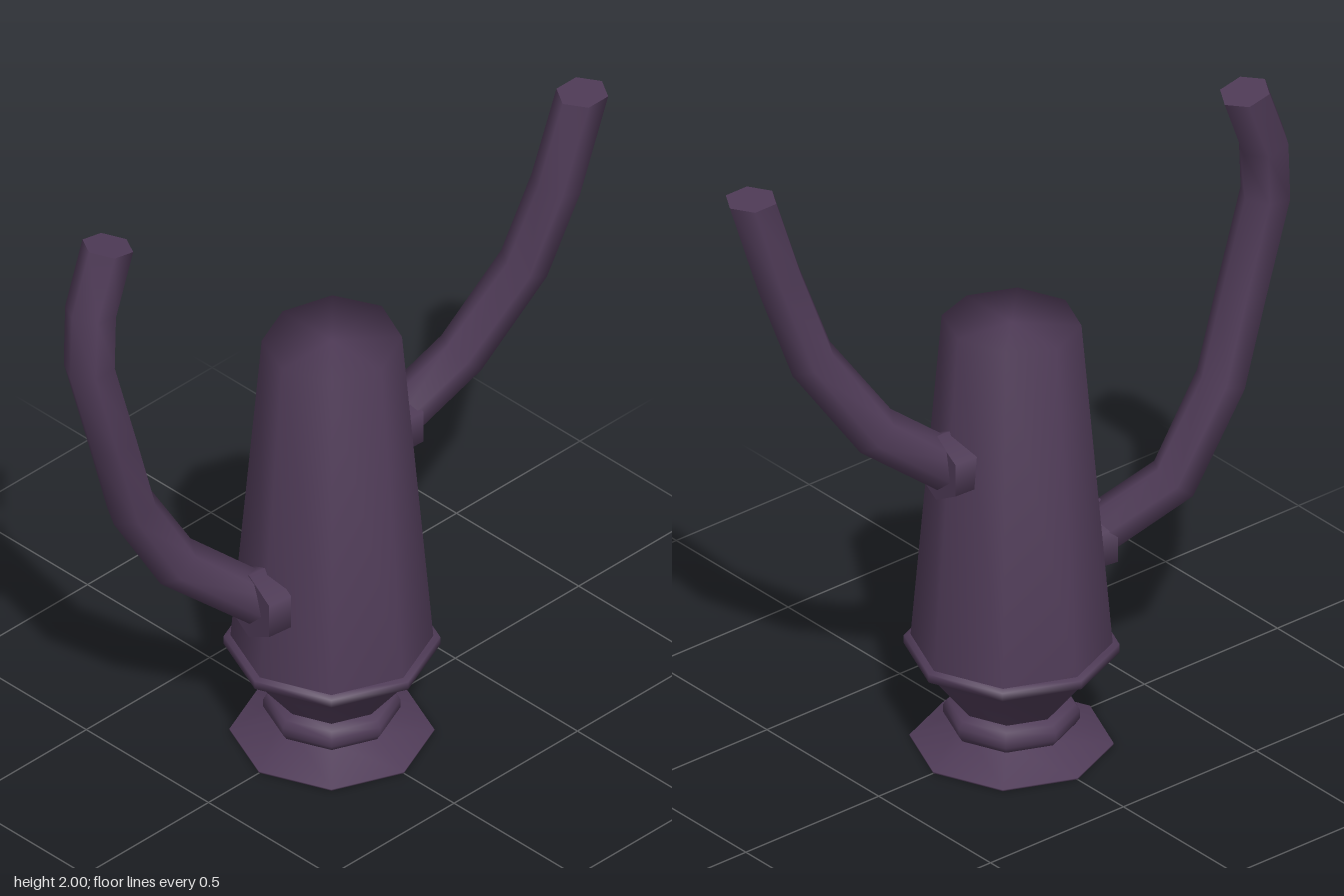
import * as THREE from 'three';

const plum = new THREE.MeshStandardMaterial({ color: 0x4f3b57, side: THREE.DoubleSide });
plum.name = 'dark plum';

function add(parent, name, geometry) {
  const mesh = new THREE.Mesh(geometry, plum);
  mesh.name = name;
  parent.add(mesh);
  return mesh;
}

// Eight-sided turned part from [radius, y] pairs, with corners on the axes
function turned(points) {
  return new THREE.LatheGeometry(points.map(([r, y]) => new THREE.Vector2(r, y)), 8);
}

// Six-sided mitred pipe through the points; endDir sets the cut of the last ring
function pipe(coords, radius, endDir) {
  const pts = coords.map((c) => new THREE.Vector3(...c));
  const last = pts.length - 1;
  const sides = 6;
  const pos = [];
  const index = [];
  const dir = (i) => pts[i + 1].clone().sub(pts[i]).normalize();
  pts.forEach((p, i) => {
    const before = dir(Math.max(i - 1, 0));
    const after = i === last ? endDir.clone().normalize() : dir(i);
    const t = i === last ? after : before.clone().add(after).normalize();
    const u = new THREE.Vector3(0, 0, 1).cross(t).normalize();
    const v = t.clone().cross(u);
    const stretch = radius / Math.max(0.8, t.dot(before));
    for (let k = 0; k < sides; k++) {
      const a = (k / sides) * Math.PI * 2;
      const q = p.clone().addScaledVector(u, Math.cos(a) * stretch).addScaledVector(v, Math.sin(a) * radius);
      pos.push(q.x, q.y, q.z);
      if (i < last) {
        const b = i * sides + k;
        const c = i * sides + ((k + 1) % sides);
        index.push(b, c, b + sides, c, c + sides, b + sides);
      }
    }
  });
  // End cap with its own corners so the cut stays crisp
  const start = pos.length / 3;
  pos.push(...pos.slice(-sides * 3));
  for (let k = 1; k < sides - 1; k++) index.push(start, start + k, start + k + 1);
  const g = new THREE.BufferGeometry();
  g.setAttribute('position', new THREE.Float32BufferAttribute(pos, 3));
  g.setIndex(index);
  g.computeVertexNormals();
  return g;
}

// Hexagonal socket lying along x where a pipe joins the body
function collar(parent, name, center, radius, yaw) {
  const g = new THREE.CylinderGeometry(radius, radius, 0.08, 6);
  g.rotateY(Math.PI / 2);
  g.rotateZ(Math.PI / 2);
  g.rotateX(Math.PI / 2);
  // Bring a corner to the top and bottom
  g.computeBoundingBox();
  if (g.boundingBox.max.y < g.boundingBox.max.z) g.rotateX(Math.PI / 2);
  const mesh = add(parent, name, g);
  mesh.position.set(...center);
  mesh.rotation.y = yaw;
}

export function createModel() {
  const model = new THREE.Group();
  model.name = 'vessel';

  // Foot, ring and flared cup
  add(model, 'foot', turned([[0, 0], [0.295, 0], [0.295, 0.005], [0.15, 0.06], [0.13, 0.08]]));
  add(model, 'neckRing', turned([[0.15, 0.055], [0.185, 0.065], [0.198, 0.085], [0.198, 0.11], [0.185, 0.13], [0.15, 0.145]]));
  add(model, 'cup', turned([[0.13, 0.09], [0.16, 0.14], [0.295, 0.31]]));

  // Thin flange under the body
  add(model, 'flange', turned([[0.28, 0.308], [0.312, 0.308], [0.312, 0.335], [0.28, 0.342]]));

  // Tapered body, its rim rising slightly to one side
  const body = turned([[0.293, 0.33], [0.202, 1.39], [0, 1.39]]);
  const p = body.attributes.position;
  for (let i = 0; i < p.count; i++) {
    if (p.getY(i) > 1) p.setY(i, 1.39 + Math.max(0, p.getX(i)) * 0.1);
  }
  add(model, 'body', body);

  // Left pipe
  collar(model, 'leftCollar', [0.232, 1.0, 0.012], 0.105, -0.05);
  add(model, 'leftPipe', pipe([
    [0.2, 0.97, 0], [0.445, 1.16, 0.08], [0.62, 1.43, 0.16], [0.7, 1.7, 0.21], [0.787, 1.99, 0.23],
  ], 0.076, new THREE.Vector3(0, 1, 0)));

  // Right pipe
  collar(model, 'rightCollar', [-0.272, 0.59, -0.02], 0.11, -0.12);
  add(model, 'rightPipe', pipe([
    [-0.23, 0.56, 0], [-0.475, 0.765, -0.16], [-0.64, 1.04, -0.175], [-0.715, 1.315, -0.18],
    [-0.795, 1.61, -0.19], [-0.78, 1.79, -0.2], [-0.705, 1.985, -0.205],
  ], 0.076, new THREE.Vector3(0.2, 1, 0)));

  return model;
}
